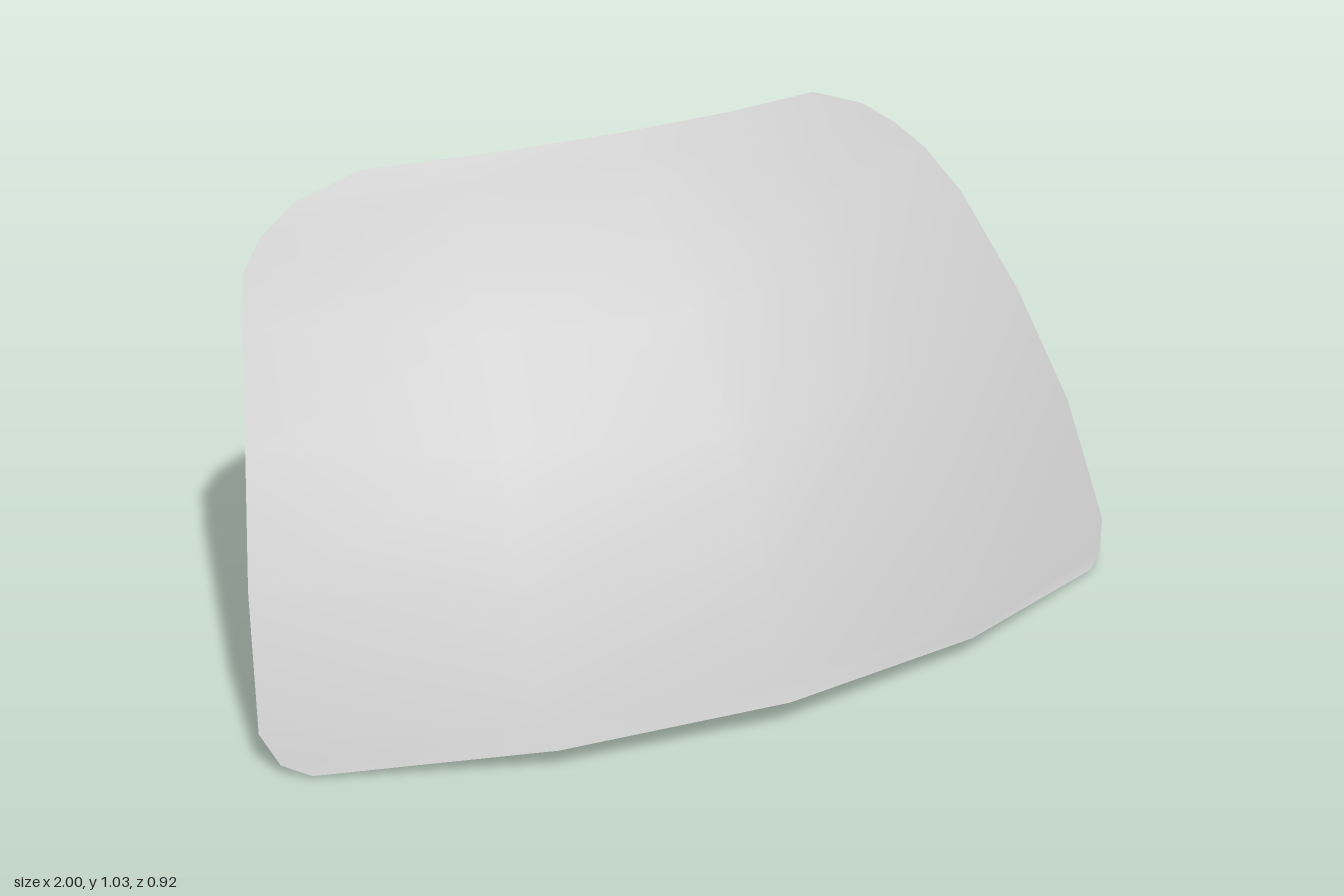
import * as THREE from 'three';

// Surface rule: height, centre-line z, sideways curvature
const SURFACE = [
  [0, 0.49, 0.35], [0.09, 0.455, 0.345], [0.335, 0.355, 0.38], [0.565, 0.215, 0.427],
  [0.765, 0.045, 0.483], [0.94, -0.155, 0.62], [1.03, -0.3, 0.58],
];
// Outline rows: half width, height at centre, height at the edge
const ROWS = [
  [0.92, 0.065, 0.005], [0.97, 0.075, 0.022], [0.998, 0.1, 0.08], [0.963, 0.335, 0.335],
  [0.905, 0.565, 0.565], [0.845, 0.765, 0.755], [0.805, 0.87, 0.835], [0.75, 0.94, 0.89],
  [0.67, 0.99, 0.945], [0.53, 1.03, 1.0],
];
const COLS = [-1, -0.52, 0, 0.52, 1];
const THICKNESS = 0.028;

function surfaceZ(x, y) {
  let i = 0;
  while (i < SURFACE.length - 2 && y > SURFACE[i + 1][0]) i++;
  const [a, b] = [SURFACE[i], SURFACE[i + 1]];
  const t = (y - a[0]) / (b[0] - a[0]);
  return a[1] + (b[1] - a[1]) * t - (a[2] + (b[2] - a[2]) * t) * x * x;
}

// Quad grid from rows of points, optionally turned inside out
function gridGeometry(rows, flip = false) {
  const n = rows[0].length;
  const index = [];
  for (let r = 0; r < rows.length - 1; r++) {
    for (let c = 0; c < n - 1; c++) {
      const a = r * n + c, b = a + 1, d = a + n, e = d + 1;
      index.push(...(flip ? [a, e, b, a, d, e] : [a, b, e, a, e, d]));
    }
  }
  const geometry = new THREE.BufferGeometry().setFromPoints(rows.flat());
  geometry.setIndex(index);
  geometry.computeVertexNormals();
  return geometry;
}

export function createModel() {
  const group = new THREE.Group();
  group.name = 'curvedShield';
  const material = new THREE.MeshStandardMaterial({ color: 0xcccccc, side: THREE.DoubleSide });
  const add = (name, geometry) => {
    const mesh = new THREE.Mesh(geometry, material);
    mesh.name = name;
    group.add(mesh);
  };

  // Outer skin
  const outer = ROWS.map(([w, yc, ye]) => COLS.map((u) => {
    const x = w * u, y = yc + (ye - yc) * u * u;
    return new THREE.Vector3(x, y, surfaceZ(x, y));
  }));
  const outerGeometry = gridGeometry(outer);
  add('outerSkin', outerGeometry);

  // Inner skin, set back along the outer normals
  const normals = outerGeometry.attributes.normal;
  const inner = outer.map((row, r) => row.map((p, c) => {
    const normal = new THREE.Vector3().fromBufferAttribute(normals, r * COLS.length + c);
    const q = p.clone().addScaledVector(normal, -THICKNESS);
    q.y = Math.max(q.y, 0);
    return q;
  }));
  add('innerSkin', gridGeometry(inner, true));

  // Rim joining the two skins all the way round
  const perimeter = (g) => {
    const last = COLS.length - 1;
    return [
      ...g[0],
      ...g.slice(1).map((row) => row[last]),
      ...g[g.length - 1].slice(0, last).reverse(),
      ...g.slice(0, -1).map((row) => row[0]).reverse(),
    ];
  };
  add('rim', gridGeometry([perimeter(inner), perimeter(outer)]));
  return group;
}
